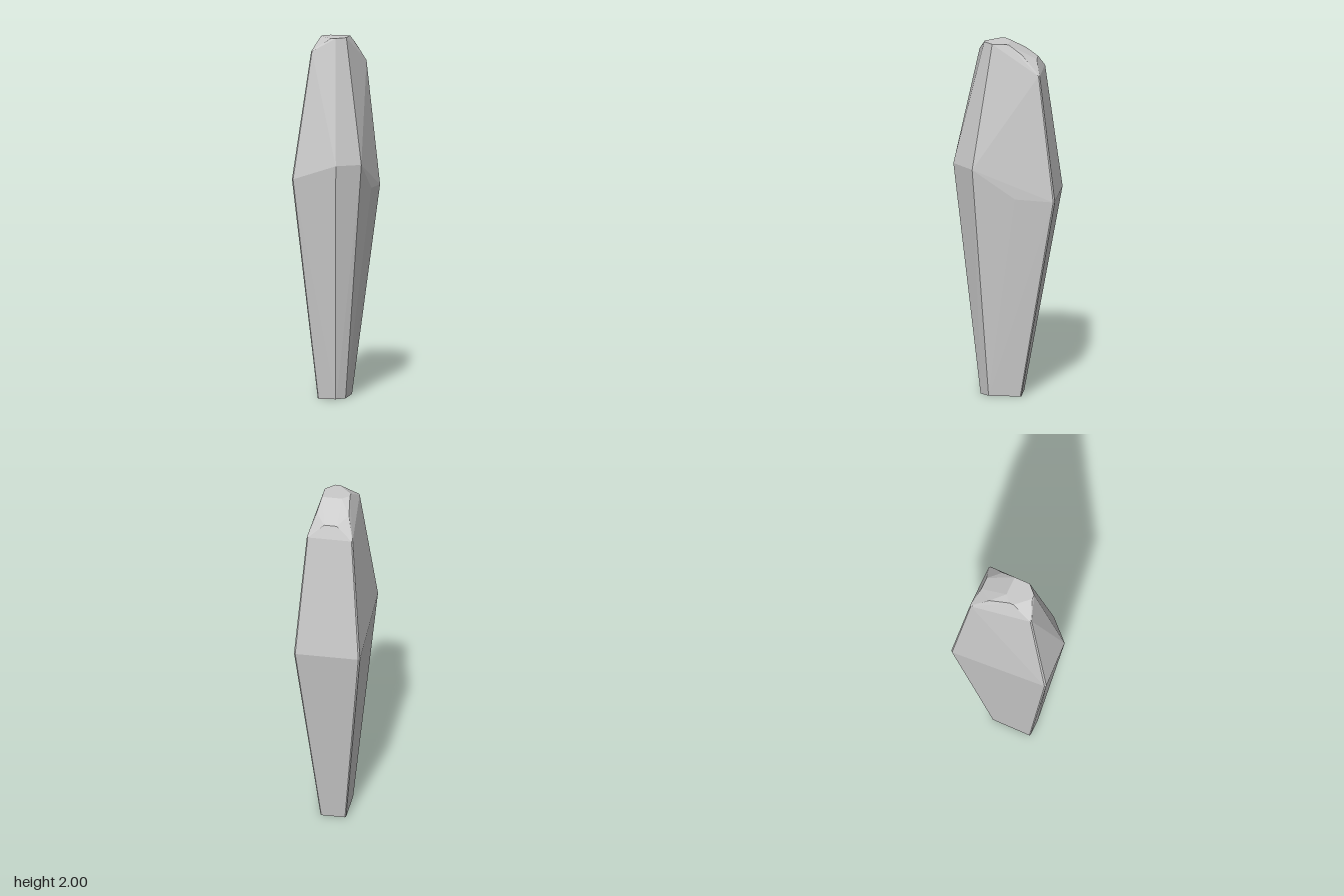
import * as THREE from 'three';
import { ConvexGeometry } from 'three/addons/geometries/ConvexGeometry.js';

// Chamfer a corner: spread it into a small diamond, flat or octahedral.
function chamfer([x, y, z], r, flat = false) {
  const offsets = [[r, 0, 0], [-r, 0, 0], [0, 0, r], [0, 0, -r]];
  if (!flat) offsets.push([0, r, 0], [0, -r, 0]);
  return offsets.map(([a, b, c]) => new THREE.Vector3(x + a, y + b, z + c));
}

export function createModel() {
  const group = new THREE.Group();
  group.name = 'standingStone';

  // narrow flat foot
  const foot = [[-0.066, 0, -0.085], [0.066, 0, -0.085], [0.07, 0, 0.09], [0.03, 0, 0.135], [-0.066, 0, 0.135]];
  // widest ring, higher at the front
  const belt = [
    [-0.176, 1.14, -0.281], [0.176, 1.14, -0.281], [0.176, 1.15, -0.07],
    [0.174, 1.31, 0.168], [0.065, 1.315, 0.278], [-0.176, 1.235, 0.278],
  ];
  // shoulder corners below the crown
  const shoulder = [[-0.122, 1.84, -0.193], [0.122, 1.84, -0.193], [-0.098, 1.93, 0.155]];
  // sloping facet at the back of the crown
  const slope = [[-0.035, 1.912, -0.172], [0.035, 1.912, -0.172], [-0.09, 1.945, -0.1], [0.09, 1.945, -0.1]];
  // flat tip
  const tip = [
    [0, 2, 0.12], [0.025, 2, 0.12], [0.075, 2, 0.07], [0.075, 2, -0.02],
    [-0.035, 2, -0.02], [-0.075, 2, 0.015], [-0.075, 2, 0.04],
  ];

  const points = [
    ...foot.flatMap((p) => chamfer(p, 0.005, true)),
    ...belt.flatMap((p) => chamfer(p, 0.008)),
    ...shoulder.flatMap((p) => chamfer(p, 0.006)),
    ...[...slope, ...tip].map((p) => new THREE.Vector3(...p)),
  ];
  const stone = new THREE.Mesh(
    new ConvexGeometry(points),
    new THREE.MeshStandardMaterial({ color: 0xcccccc, flatShading: true }),
  );
  stone.name = 'stone';
  group.add(stone);
  return group;
}
